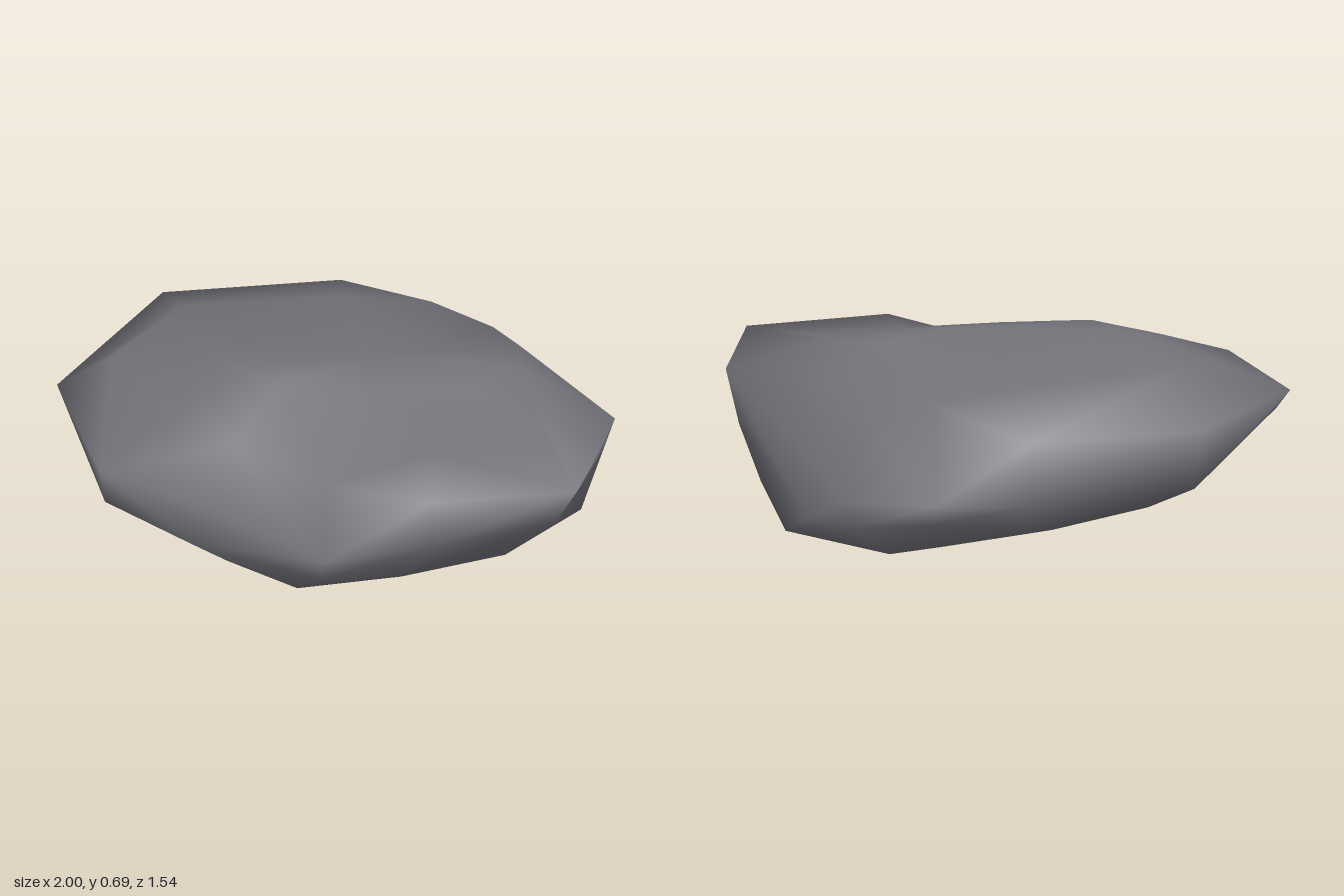
import * as THREE from 'three';

// Horizontal loops of the stone, each running left side, front, right side, back.
const BASE = [
  [-0.6, 0.17, -0.15], [-0.6, 0.105, 0.27], [-0.42, 0.08, 0.43], [-0.18, 0.075, 0.62],
  [0.2, 0.09, 0.59], [0.585, 0.1, 0.485], [0.88, 0.1, 0.2], [0.89, 0.08, -0.33],
  [0.56, 0.06, -0.61], [0.36, 0.08, -0.62], [0.05, 0.11, -0.62], [-0.4, 0.17, -0.58],
];
const LOWER_SIDE = [
  [-0.96, 0.38, -0.15], [-0.86, 0.29, 0.33], [-0.55, 0.17, 0.45], [-0.1, 0.16, 0.7],
  [0.3, 0.3, 0.73], [0.755, 0.38, 0.71], [0.97, 0.34, 0.15], [0.835, 0.16, -0.43],
  [0.69, 0.16, -0.59], [0.42, 0.2, -0.735], [0.07, 0.25, -0.74], [-0.55, 0.27, -0.7],
];
const RIM = [
  [-1, 0.46, -0.2], [-0.88, 0.44, 0.36], [-0.51, 0.34, 0.475], [-0.09, 0.27, 0.76],
  [0.3, 0.52, 0.77], [0.83, 0.52, 0.73], [1, 0.52, 0.25], [0.84, 0.39, -0.2],
  [0.71, 0.26, -0.58], [0.42, 0.28, -0.76], [0.07, 0.5, -0.77], [-0.58, 0.5, -0.73],
];
const SHOULDER = [
  [-0.8, 0.56, -0.22], [-0.6, 0.57, 0.2], [-0.4, 0.52, 0.34], [-0.07, 0.46, 0.54],
  [0.3, 0.555, 0.5], [0.76, 0.55, 0.5], [0.66, 0.66, 0.1], [0.68, 0.59, -0.15],
  [0.6, 0.5, -0.42], [0.38, 0.58, -0.48], [0.05, 0.62, -0.48], [-0.54, 0.635, -0.42],
];

// Closed skin through the loops, from bottom centre to top centre.
function loftClosed(rings, bottom, top) {
  const n = rings[0].length;
  const points = [...rings.flat(), bottom, top];
  const vectors = points.map((p) => new THREE.Vector3(...p));
  const bottomId = points.length - 2, topId = points.length - 1;
  const last = (rings.length - 1) * n;
  const index = [];
  // Split each four-cornered patch along the diagonal that bulges outwards
  const patch = (a, b, c, d) => {
    const [ab, ad, ac] = [b, d, c].map((k) => vectors[k].clone().sub(vectors[a]));
    if (ab.cross(ad).dot(ac) > 0) index.push(a, b, c, a, c, d);
    else index.push(a, b, d, b, c, d);
  };
  for (let i = 0; i < n; i++) {
    const j = (i + 1) % n;
    for (let r = 0; r < last; r += n) patch(r + i, r + j, r + n + j, r + n + i);
    index.push(bottomId, j, i, topId, last + i, last + j);
  }
  const geometry = new THREE.BufferGeometry();
  geometry.setAttribute('position', new THREE.Float32BufferAttribute(points.flat(), 3));
  geometry.setIndex(index);
  geometry.computeVertexNormals();
  return geometry;
}

export function createModel() {
  const stone = new THREE.MeshStandardMaterial({ color: 0x727279 });
  stone.name = 'stone grey';

  // Nearly flat underside, tilted slightly towards the right
  const underside = BASE.map(([x, , z]) => {
    const px = 0.2 + (x - 0.2) * 0.5;
    return [px, Math.max(0, 0.012 - 0.024 * px), -0.03 + (z + 0.03) * 0.5];
  });
  // Long low ridge across the top
  const ridge = SHOULDER.map(([x, , z]) => {
    const pz = 0.05 + (z - 0.05) * 0.3;
    return [0.1 + (x - 0.1) * 0.6, 0.685 - 0.22 * Math.abs(pz - 0.05), pz];
  });

  const rock = new THREE.Mesh(
    loftClosed([underside, BASE, LOWER_SIDE, RIM, SHOULDER, ridge], [0.2, 0, -0.03], [0.15, 0.69, 0.05]),
    stone,
  );
  rock.name = 'rock';

  const model = new THREE.Group();
  model.name = 'boulder';
  model.add(rock);
  return model;
}
